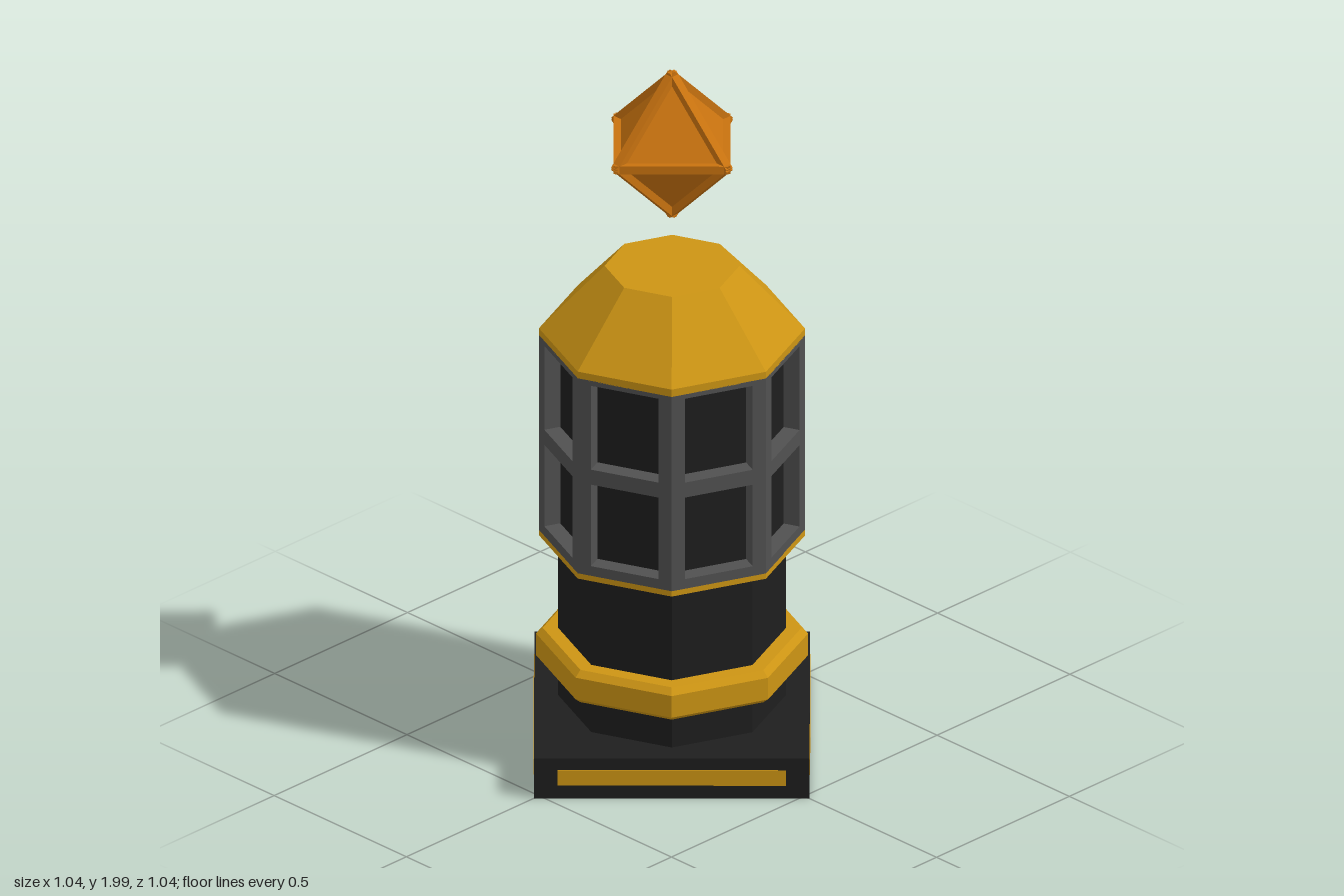
import * as THREE from 'three';

const material = (color) => new THREE.MeshStandardMaterial({ color, flatShading: true, side: THREE.DoubleSide });

export function createModel() {
  const dark = material(0x1e1e1e);
  const gold = material(0xcc9414);
  const grey = material(0x505050);
  const orange = material(0xc8720f);
  const model = new THREE.Group();

  const add = (name, geometry, mat, parent = model) => {
    const mesh = new THREE.Mesh(geometry, mat);
    mesh.name = name;
    parent.add(mesh);
    return mesh;
  };
  // Eight-sided turned part from [radius, y] pairs, bottom to top
  const octagon = (name, profile, mat) =>
    add(name, new THREE.LatheGeometry(profile.map(([r, y]) => new THREE.Vector2(r, y)), 8), mat);

  // Square base standing corner-forward, with a gold strip on each side
  const base = new THREE.Group();
  base.name = 'base';
  base.rotation.y = Math.PI / 4;
  model.add(base);
  const side = 0.52 * Math.SQRT2;
  add('baseSlab', new THREE.BoxGeometry(side, 0.12, side), dark, base).position.y = 0.06;
  for (let i = 0; i < 2; i++) {
    const strip = add('baseStrip', new THREE.BoxGeometry(0.61, 0.046, side + 0.003), gold, base);
    strip.position.y = 0.062;
    strip.rotation.y = i * Math.PI / 2;
  }

  // Column, which also backs the windows of the cage
  octagon('column', [[0, 0.1], [0.304, 0.1], [0.304, 1.21], [0, 1.21]], dark);

  // Bevelled collar
  octagon('collar', [[0.29, 0.225], [0.345, 0.225], [0.363, 0.24], [0.363, 0.305], [0.345, 0.322], [0.29, 0.322]], gold);

  // Gold rims and faceted cap around the cage
  const R = 0.355;
  octagon('lowerRim', [[0.29, 0.6], [R, 0.6], [R, 0.618], [0.29, 0.618]], gold);
  octagon('cap', [[0, 1.2], [R, 1.2], [R, 1.222], [0.18, 1.41], [0, 1.41]], gold);

  // Window cage: one frame with two openings on each of the eight sides
  const half = R * Math.sin(Math.PI / 8);
  const rect = (Type, w, y0, y1) => new Type([[-w, y0], [w, y0], [w, y1], [-w, y1]].map(([x, y]) => new THREE.Vector2(x, y)));
  const frame = rect(THREE.Shape, half, 0.616, 1.202);
  frame.holes.push(rect(THREE.Path, half - 0.038, 0.645, 0.89));
  frame.holes.push(rect(THREE.Path, half - 0.038, 0.935, 1.187));
  const depth = 0.046;
  const frameGeometry = new THREE.ExtrudeGeometry(frame, { depth, bevelEnabled: false });
  frameGeometry.translate(0, 0, R * Math.cos(Math.PI / 8) - depth);
  for (let i = 0; i < 8; i++) {
    add('windowFrame', frameGeometry, grey).rotation.y = (i + 0.5) * Math.PI / 4;
  }

  // Floating crystal: octahedron core with a flat bar along each edge
  const crystal = new THREE.Group();
  crystal.name = 'crystal';
  crystal.position.y = 1.777;
  model.add(crystal);
  const r = 0.223;
  add('crystalCore', new THREE.OctahedronGeometry(r - 0.018), orange, crystal);
  const barGeometry = new THREE.BoxGeometry(0.024, 0.03, r * Math.SQRT2 - 0.012);
  const axes = [new THREE.Vector3(1, 0, 0), new THREE.Vector3(0, 1, 0), new THREE.Vector3(0, 0, 1)];
  for (let i = 0; i < 3; i++) {
    for (const s of [-1, 1]) {
      for (const t of [-1, 1]) {
        const a = axes[i].clone().multiplyScalar(s);
        const b = axes[(i + 1) % 3].clone().multiplyScalar(t);
        const out = a.clone().add(b).normalize();
        const along = b.clone().sub(a).normalize();
        const across = out.clone().cross(along);
        const bar = add('crystalEdge', barGeometry, orange, crystal);
        bar.quaternion.setFromRotationMatrix(new THREE.Matrix4().makeBasis(across, out, along));
        bar.position.copy(out).multiplyScalar(r / Math.SQRT2 - 0.0165);
      }
    }
  }
  return model;
}
